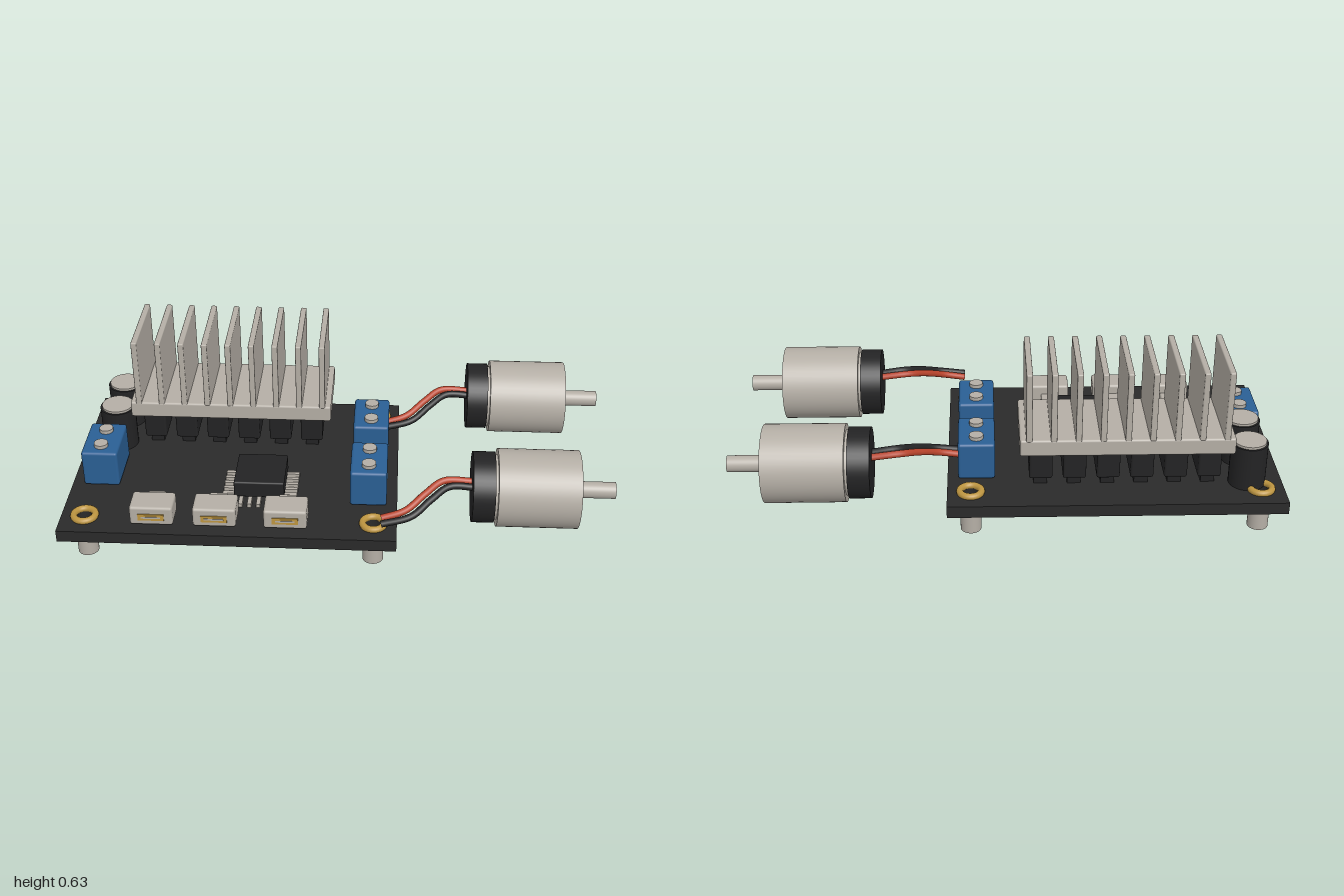
import * as THREE from 'three';
import { RoundedBoxGeometry } from 'three/addons/geometries/RoundedBoxGeometry.js';

const mat = (name, color) => new THREE.MeshStandardMaterial({ name, color });

export function createModel() {
  const root = new THREE.Group();
  root.name = 'motorDriverBoard';
  const board = mat('boardBlack', 0x2a2a2a);
  const black = mat('plasticBlack', 0x232324);
  const metal = mat('metalGrey', 0xb4aea5);
  const blue = mat('terminalBlue', 0x2a5f94);
  const gold = mat('gold', 0xbd9540);
  const red = mat('wireRed', 0xb8432b);

  const add = (parent, name, geo, material, x = 0, y = 0, z = 0) => {
    const m = new THREE.Mesh(geo, material);
    m.name = name;
    m.position.set(x, y, z);
    parent.add(m);
    return m;
  };
  const group = (name, x = 0, y = 0, z = 0) => {
    const g = new THREE.Group();
    g.name = name;
    g.position.set(x, y, z);
    root.add(g);
    return g;
  };
  const box = (w, h, d) => new THREE.BoxGeometry(w, h, d);
  const rbox = (w, h, d, r) => new RoundedBoxGeometry(w, h, d, 2, r);
  const cyl = (r, h, n = 32) => new THREE.CylinderGeometry(r, r, h, n);

  // Board with four mounting holes
  const holes = [];
  for (const x of [-0.913, 0.137]) for (const z of [-0.347, 0.369]) holes.push([x, z]);
  const shape = new THREE.Shape();
  shape.moveTo(-1, -0.463);
  shape.lineTo(0.222, -0.463);
  shape.lineTo(0.222, 0.441);
  shape.lineTo(-1, 0.441);
  shape.closePath();
  for (const [x, z] of holes) {
    const p = new THREE.Path();
    p.absarc(x, -z, 0.028, 0, Math.PI * 2, true);
    shape.holes.push(p);
  }
  const plate = new THREE.ExtrudeGeometry(shape, { depth: 0.046, bevelEnabled: false, curveSegments: 20 });
  plate.rotateX(-Math.PI / 2);
  add(root, 'circuitBoard', plate, board, 0, 0.105, 0);

  // Standoffs and gold rings at each hole
  for (const [x, z] of holes) {
    add(root, 'standoff', cyl(0.038, 0.105), metal, x, 0.0525, z);
    const ring = add(root, 'mountingRing', new THREE.TorusGeometry(0.039, 0.013, 10, 32), gold, x, 0.158, z);
    ring.rotation.x = Math.PI / 2;
  }

  // Finned heatsink over a row of transistors
  const sink = group('heatsink', -0.422, 0, -0.213);
  add(sink, 'heatsinkBase', rbox(0.766, 0.064, 0.314, 0.008), metal, 0, 0.344, 0);
  for (let i = 0; i < 9; i++) {
    add(sink, 'fin', rbox(0.022, 0.266, 0.314, 0.005), metal, (i - 4) * 0.0875, 0.502, 0);
  }
  for (let i = 0; i < 6; i++) {
    const x = (i - 2.5) * 0.122;
    add(sink, 'transistor', rbox(0.084, 0.106, 0.21, 0.008), black, x, 0.241, 0);
    add(sink, 'transistorFoot', box(0.05, 0.045, 0.15), black, x, 0.17, 0);
  }

  // Capacitors
  for (const z of [-0.289, -0.121]) {
    add(root, 'capacitor', cyl(0.067, 0.168), black, -0.87, 0.234, z);
    add(root, 'capacitorTop', cyl(0.06, 0.01), metal, -0.87, 0.322, z);
  }

  // Screw terminal blocks
  for (const [x, z] of [[-0.888, 0.073], [0.115, -0.152], [0.115, 0.155]]) {
    const t = group('terminalBlock', x, 0, z);
    add(t, 'terminalHousing', rbox(0.135, 0.144, 0.208, 0.01), blue, 0, 0.224, 0);
    for (const s of [-1, 1]) {
      add(t, 'terminalScrew', cyl(0.026, 0.02, 20), metal, 0, 0.3, s * 0.051);
    }
  }

  // Front sockets with gold contact strips
  for (const x of [-0.66, -0.433, -0.178]) {
    const s = group('socket', x, 0, 0);
    add(s, 'socketShell', rbox(0.156, 0.076, 0.104, 0.01), metal, 0, 0.195, 0.367);
    add(s, 'socketTab', rbox(0.066, 0.045, 0.06, 0.006), metal, 0, 0.175, 0.292);
    add(s, 'socketContact', box(0.094, 0.026, 0.008), gold, 0, 0.193, 0.419);
    add(s, 'socketTongue', box(0.07, 0.007, 0.008), metal, 0, 0.193, 0.421);
  }

  // Controller chip with pins on four sides
  const chip = group('controllerChip', -0.288, 0, 0.15);
  add(chip, 'chipBody', rbox(0.186, 0.065, 0.19, 0.006), black, 0, 0.199, 0);
  for (let side = 0; side < 4; side++) {
    const row = new THREE.Group();
    row.name = 'pinRow';
    row.rotation.y = side * Math.PI / 2;
    chip.add(row);
    for (let i = -2; i <= 2; i++) {
      add(row, 'pin', box(0.015, 0.015, 0.05), metal, i * 0.033, 0.159, 0.113);
    }
  }

  // Motors lying along x, each with a pair of wires
  for (const z of [-0.333, 0.289]) {
    const m = group('motor', 0, 0.275, z);
    const part = (name, r, x0, x1, material) => {
      const p = add(m, name, cyl(r, x1 - x0, 48), material, (x0 + x1) / 2, 0, 0);
      p.rotation.z = -Math.PI / 2;
    };
    part('motorEndCap', 0.128, 0.487, 0.566, black);
    part('motorNeck', 0.118, 0.56, 0.58, metal);
    part('motorBody', 0.141, 0.575, 0.866, metal);
    part('motorShaft', 0.03, 0.86, 1, metal);
    const wire = (name, dx, dz, material) => {
      const path = new THREE.CatmullRomCurve3([
        [0.165, -0.052, 0.137], [0.25, -0.03, 0.118], [0.32, 0.005, 0.062],
        [0.385, 0.028, 0.012], [0.5, 0.02, 0],
      ].map(([x, y, w]) => new THREE.Vector3(x < 0.2 || x > 0.45 ? x : x + dx, y, w + dz)));
      add(m, name, new THREE.TubeGeometry(path, 32, 0.013, 10), material);
    };
    wire('redWire', 0, -0.002, red);
    wire('blackWire', 0.02, 0.033, black);
  }
  return root;
}
